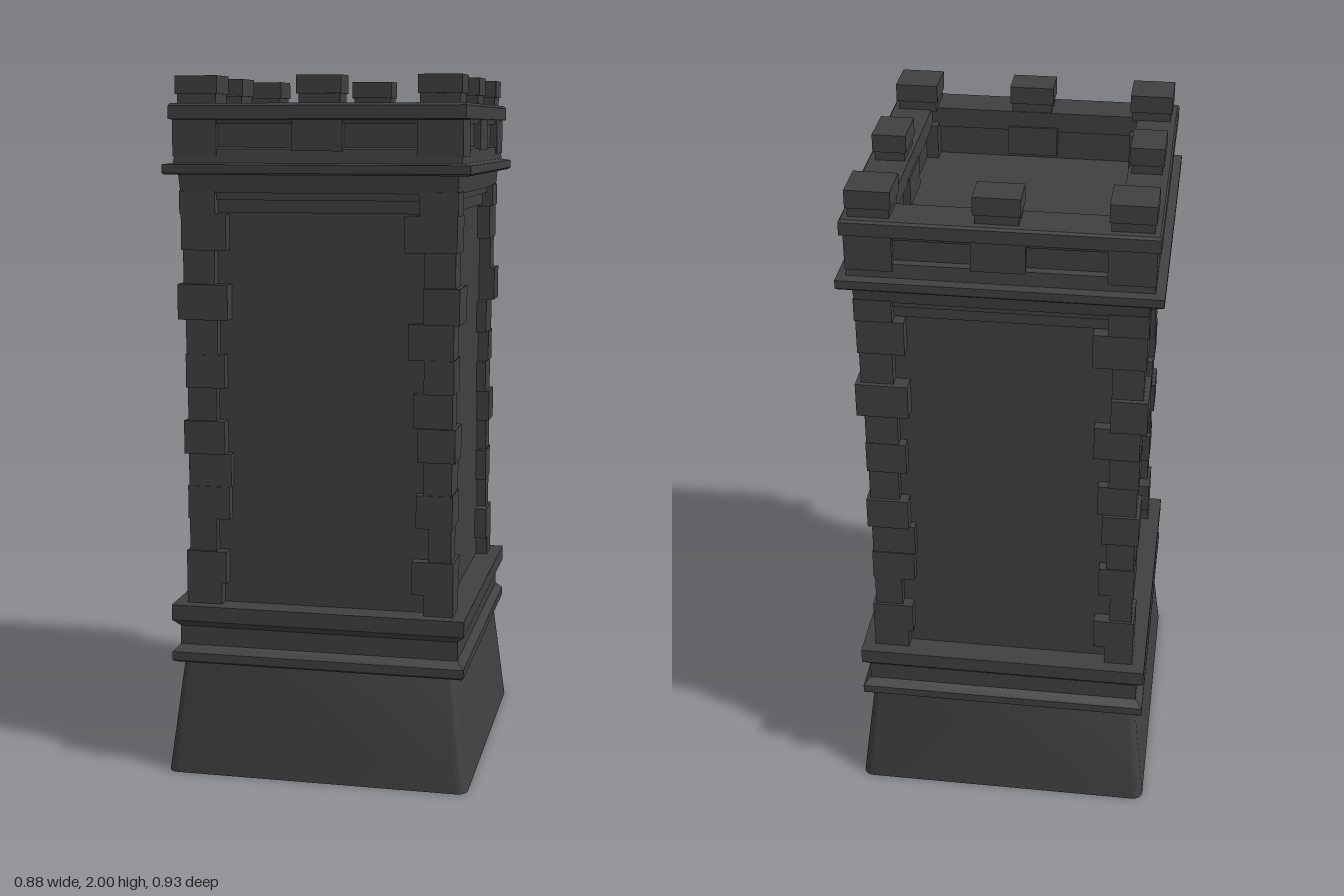
import * as THREE from 'three';
import { toCreasedNormals } from 'three/addons/utils/BufferGeometryUtils.js';

const DZ = 0.025; // the tower is slightly deeper than wide
const stone = new THREE.MeshStandardMaterial({ color: 0x404040, side: THREE.DoubleSide });

function add(group, name, geometry) {
  const mesh = new THREE.Mesh(geometry, stone);
  mesh.name = name;
  group.add(mesh);
  return mesh;
}

// Sweeps a profile of [half width, height] around a rectangle, with optional rounded corners.
function sweep(profile, radius = 0) {
  const steps = radius > 0 ? 5 : 0;
  const n = 4 * (steps + 1);
  const pos = [], idx = [];
  for (const [d, y] of profile) {
    for (let q = 0; q < 4; q++) {
      const sx = q === 0 || q === 3 ? 1 : -1, sz = q < 2 ? 1 : -1;
      for (let k = 0; k <= steps; k++) {
        const a = (q + (steps ? k / steps : 0)) * Math.PI / 2;
        pos.push(sx * (d - radius) + radius * Math.cos(a), y, sz * (d + DZ - radius) + radius * Math.sin(a));
      }
    }
  }
  for (let i = 0; i < profile.length - 1; i++) {
    for (let j = 0; j < n; j++) {
      const a = i * n + j, b = i * n + (j + 1) % n;
      idx.push(a, a + n, b + n, a, b + n, b);
    }
  }
  const g = new THREE.BufferGeometry();
  g.setAttribute('position', new THREE.Float32BufferAttribute(pos, 3));
  g.setIndex(idx);
  return toCreasedNormals(g, radius ? 0.6 : 0.1);
}

// Box given by its limits on each axis.
function box(x0, x1, y0, y1, z0, z1) {
  return new THREE.BoxGeometry(Math.abs(x1 - x0), y1 - y0, Math.abs(z1 - z0))
    .translate((x0 + x1) / 2, (y0 + y1) / 2, (z0 + z1) / 2);
}

// L-shaped corner stone wrapping two faces.
function cornerStone(sx, sz, reachX, reachZ, out, y0, y1) {
  const t = 0.34, ox = out, oz = out + DZ;
  const pts = [[ox, oz], [reachX, oz], [reachX, t + DZ], [t, t + DZ], [t, reachZ + DZ], [ox, reachZ + DZ]]
    .map(([x, z]) => new THREE.Vector2(sx * x, -sz * z));
  return new THREE.ExtrudeGeometry(new THREE.Shape(pts), { depth: y1 - y0, bevelEnabled: false })
    .rotateX(-Math.PI / 2).translate(0, y0, 0);
}

export function createModel() {
  const tower = new THREE.Group();
  tower.name = 'tower';

  // Flared, open-bottomed foot
  add(tower, 'foot', sweep([[0.44, 0], [0.4, 0.335]], 0.03));

  // Stepped plinth moulding
  add(tower, 'plinth', sweep([
    [0.32, 0.33], [0.42, 0.33], [0.425, 0.335], [0.425, 0.36], [0.405, 0.38], [0.405, 0.435],
    [0.425, 0.455], [0.425, 0.5], [0.32, 0.5], [0.32, 0.33],
  ]));

  // Recessed wall panels, with a stepped head under the frieze
  add(tower, 'walls', sweep([
    [0.352, 0.49], [0.352, 1.625], [0.362, 1.625], [0.362, 1.66], [0.374, 1.66], [0.374, 1.68],
    [0.39, 1.68], [0.395, 1.74], [0.32, 1.74], [0.32, 0.49],
  ]));

  // Uneven corner stones, in the same pattern on all four faces
  const courses = [0.5, 0.56, 0.655, 0.75, 0.845, 0.94, 1.035, 1.13, 1.225, 1.325, 1.425, 1.52, 1.62, 1.685];
  const leftReach = [0.285, 0.27, 0.3, 0.26, 0.255, 0.27, 0.295, 0.27, 0.29, 0.255, 0.295, 0.26, 0.29];
  const rightReach = [0.305, 0.27, 0.315, 0.28, 0.3, 0.285, 0.27, 0.3, 0.255, 0.3, 0.3, 0.245, 0.285];
  const outs = [0.388, 0.388, 0.38, 0.383, 0.38, 0.39, 0.38, 0.384, 0.382, 0.4, 0.386, 0.39, 0.393];
  const quoins = new THREE.Group();
  quoins.name = 'cornerStones';
  tower.add(quoins);
  for (const sx of [-1, 1]) for (const sz of [-1, 1]) {
    const [rx, rz] = sx * sz < 0 ? [leftReach, rightReach] : [rightReach, leftReach];
    outs.forEach((out, i) => add(quoins, 'cornerStone',
      cornerStone(sx, sz, rx[i], rz[i], out, courses[i], courses[i + 1])));
  }

  // Projecting ledge and the parapet wall above it
  add(tower, 'ledge', sweep([
    [0.32, 1.73], [0.425, 1.73], [0.43, 1.735], [0.43, 1.758], [0.405, 1.762],
    [0.4, 1.8], [0.385, 1.805], [0.385, 1.885], [0.315, 1.885], [0.315, 1.73],
  ]));
  add(tower, 'roofFloor', box(-0.33, 0.33, 1.755, 1.78, -0.35, 0.35));

  // Coping around the parapet
  add(tower, 'coping', sweep([
    [0.3, 1.868], [0.398, 1.868], [0.4, 1.88], [0.415, 1.882], [0.415, 1.918],
    [0.41, 1.925], [0.3, 1.925], [0.3, 1.868],
  ]));

  // Parapet blocks with merlons above: four corners and four mid-sides
  const crown = new THREE.Group();
  crown.name = 'battlements';
  tower.add(crown);
  const merlon = (x0, x1, z0, z1) => {
    const e = 0.005;
    add(crown, 'merlonNeck', box(x0 + e, x1 - e, 1.92, 1.952, z0 + e, z1 - e));
    add(crown, 'merlon', box(x0, x1, 1.95, 2, z0, z1));
  };
  const span = (s, a, b) => (s > 0 ? [a, b] : [-b, -a]);
  for (const s of [-1, 1]) {
    for (const t of [-1, 1]) {
      const [bx0, bx1] = span(s, 0.28, 0.406), [bz0, bz1] = span(t, 0.295, 0.431);
      add(crown, 'cornerBlock', box(bx0, bx1, 1.78, 1.88, bz0, bz1));
      merlon(...span(s, 0.28, 0.4), ...span(t, 0.3, 0.42));
    }
    const [z0, z1] = span(s, 0.318, 0.43), [x0, x1] = span(s, 0.295, 0.405);
    add(crown, 'midBlock', box(-0.068, 0.075, 1.795, 1.88, z0, z1));
    add(crown, 'midBlock', box(x0, x1, 1.795, 1.88, -0.075, 0.075));
    merlon(-0.055, 0.07, ...span(s, 0.323, 0.42));
    merlon(...span(s, 0.305, 0.398), -0.065, 0.065);
  }
  return tower;
}
